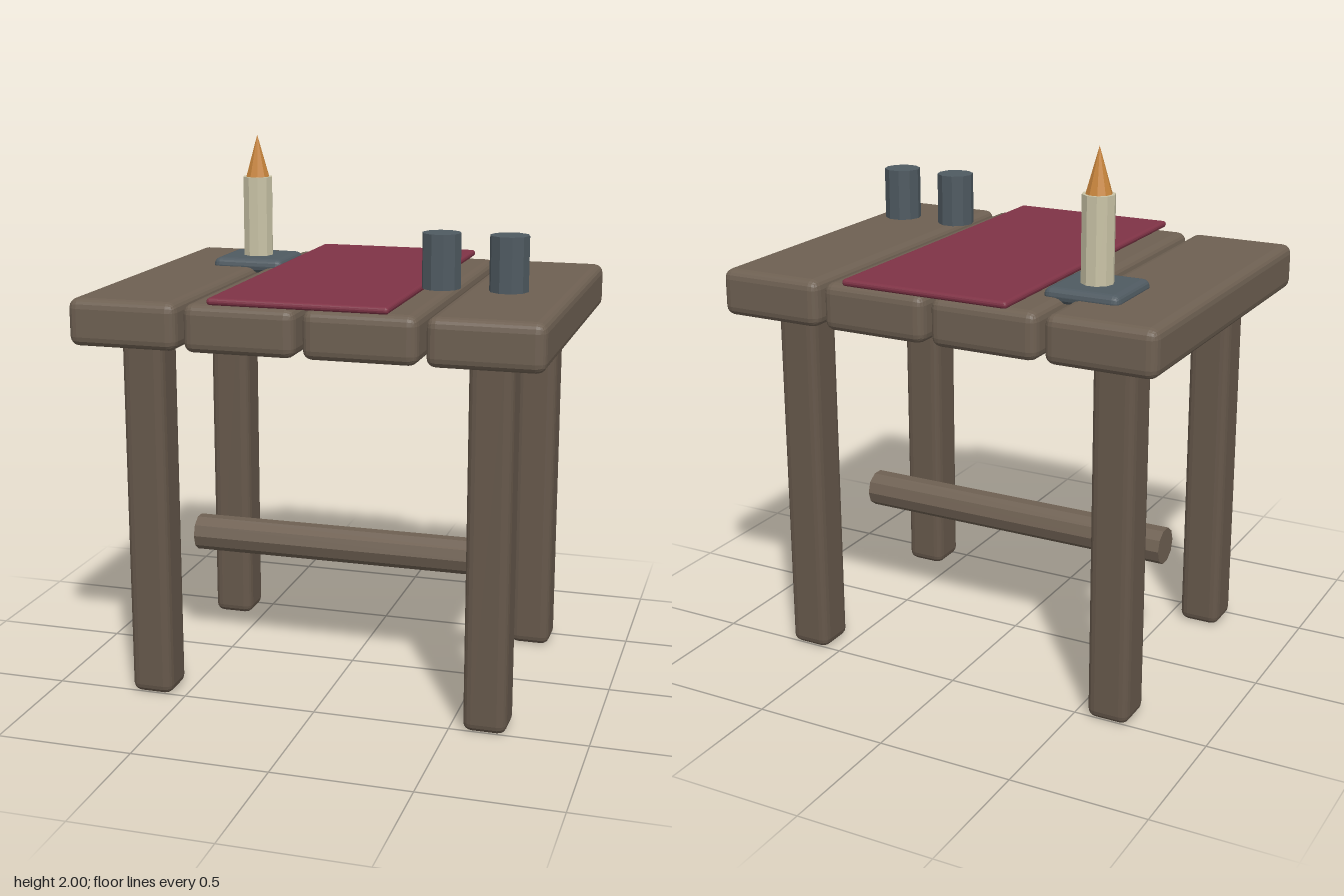
import * as THREE from 'three';
import { RoundedBoxGeometry } from 'three/addons/geometries/RoundedBoxGeometry.js';

const paint = (color) => new THREE.MeshStandardMaterial({ color, flatShading: true });

export function createModel() {
  const model = new THREE.Group();
  const wood = paint(0x6e6052);
  const darkWood = paint(0x66584b);
  const metal = paint(0x4f5a61);
  const cloth = paint(0x7f3346);
  const wax = paint(0xc9c3a6);
  const fire = paint(0xc8853c);

  const add = (name, geometry, material, x, y, z) => {
    const mesh = new THREE.Mesh(geometry, material);
    mesh.name = name;
    mesh.position.set(x, y, z);
    model.add(mesh);
    return mesh;
  };
  // Softly bevelled block, placed by its centre
  const block = (name, w, h, d, bevel, material, x, y, z) =>
    add(name, new RoundedBoxGeometry(w, h, d, 2, bevel), material, x, y, z);
  // Upright ten-sided post with corners on the x axis, placed by its base
  const post = (name, rTop, rBottom, h, material, x, y, z) => {
    const geometry = new THREE.CylinderGeometry(rTop, rBottom, h, 10);
    geometry.rotateY(Math.PI / 2).translate(0, h / 2, 0);
    return add(name, geometry, material, x, y, z);
  };

  // Table top: four separate planks
  for (let i = 0; i < 4; i++) {
    block('plank', 0.4, 0.17, 1.315, 0.035, wood, -0.64 + i * 0.425, 1.42, 0);
  }

  // Four legs
  for (const x of [-0.628, 0.628]) {
    for (const z of [-0.436, 0.436]) {
      block('leg', 0.157, 1.36, 0.157, 0.032, darkWood, x, 0.682, z);
    }
  }

  // Loose crossbar between the legs
  const bar = new THREE.CylinderGeometry(0.069, 0.069, 1.25, 10);
  add('crossbar', bar.rotateZ(Math.PI / 2), wood, 0, 0.476, 0);

  // Cloth runner
  block('runner', 0.635, 0.025, 1.345, 0.012, cloth, 0, 1.522, 0);

  // Two cups
  for (const x of [0.396, 0.634]) post('cup', 0.069, 0.069, 0.193, metal, x, 1.536, 0.257);

  // Candle on its tray
  block('candleTray', 0.28, 0.055, 0.28, 0.026, metal, -0.475, 1.508, -0.31);
  post('candle', 0.058, 0.058, 0.32, wax, -0.475, 1.52, -0.31);
  post('flame', 0, 0.047, 0.163, fire, -0.475, 1.837, -0.31);

  return model;
}
